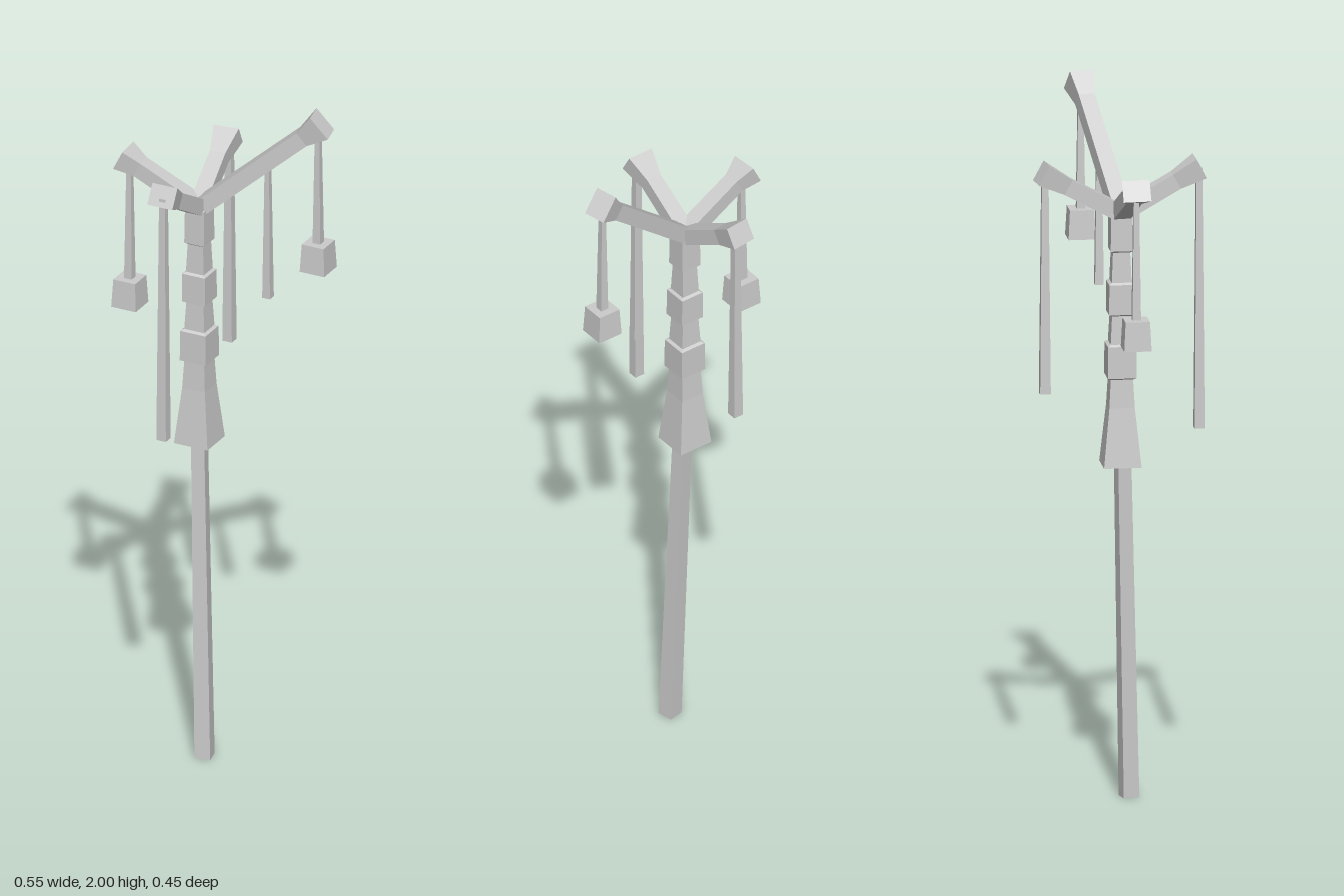
import * as THREE from 'three';

const material = new THREE.MeshStandardMaterial({ color: 0xcccccc, flatShading: true });
const UP = new THREE.Vector3(0, 1, 0);
const X = new THREE.Vector3(1, 0, 0);
const Z = new THREE.Vector3(0, 0, 1);

// Four-sided closed beam. Each ring is { c: centre, a, b: offsets along u and v };
// corners lie on the u and v axes (diamond) or between them (box). u x v points along the beam.
function beam(name, rings, u, v, box = false) {
  const signs = box ? [[1, 1], [-1, 1], [-1, -1], [1, -1]] : [[1, 0], [0, 1], [-1, 0], [0, -1]];
  const corners = rings.map(({ c, a, b }) => signs.map(([s, t]) =>
    c.clone().addScaledVector(u, s * a).addScaledVector(v, t * b)));
  const pos = [];
  const quad = (p, q, r, s) => [p, q, r, p, r, s].forEach((k) => pos.push(k.x, k.y, k.z));
  for (let i = 0; i < corners.length - 1; i++) {
    for (let j = 0; j < 4; j++) {
      const k = (j + 1) % 4;
      quad(corners[i][j], corners[i][k], corners[i + 1][k], corners[i + 1][j]);
    }
  }
  const [f, l] = [corners[0], corners[corners.length - 1]];
  quad(f[3], f[2], f[1], f[0]);
  quad(l[0], l[1], l[2], l[3]);
  const geometry = new THREE.BufferGeometry();
  geometry.setAttribute('position', new THREE.Float32BufferAttribute(pos, 3));
  geometry.computeVertexNormals();
  const mesh = new THREE.Mesh(geometry, material);
  mesh.name = name;
  return mesh;
}

// Upright diamond beam from rows of [x, y, z, radius], turned about y
function upright(name, rows, turn = 0) {
  const rings = rows.map(([x, y, z, r]) => ({ c: new THREE.Vector3(x, y, z), a: r, b: r }));
  return beam(name, rings, Z.clone().applyAxisAngle(UP, turn), X.clone().applyAxisAngle(UP, turn));
}

// Branch with a slim shaft that flares towards its tip
function arm(name, start, end, neckAt, halfWidth, halfHeight) {
  const dir = end.clone().sub(start).normalize();
  const side = dir.clone().cross(UP).normalize();
  const up = side.clone().cross(dir);
  const rings = [
    { c: start, a: 0.023, b: 0.024 },
    { c: start.clone().lerp(end, neckAt), a: 0.023, b: 0.023 },
    { c: end, a: halfHeight, b: halfWidth },
  ];
  return beam(name, rings, up, side, true);
}

export function createModel() {
  const group = new THREE.Group();
  const cx = -0.063, cz = -0.014;

  // Slightly leaning pole
  group.add(upright('pole', [[-0.061, 0, 0.027, 0.032], [-0.065, 0.97, -0.007, 0.027]], 0.2));

  // Column with flared foot and three collars: [y, radius]
  const profile = [
    [0.953, 0.074], [1.12, 0.05], [1.2, 0.044], [1.205, 0.057], [1.295, 0.056],
    [1.3, 0.044], [1.38, 0.038], [1.385, 0.051], [1.47, 0.05], [1.475, 0.039],
    [1.56, 0.034], [1.565, 0.044], [1.67, 0.042],
  ];
  group.add(upright('column', profile.map(([y, r]) => [cx, y, cz, r])));

  // Four arms spreading from the column top: name, tip, neck position, half width, half height
  const hub = new THREE.Vector3(cx, 1.668, cz);
  [
    ['longArm', [0.232, 1.969, 0.179], 0.85, 0.034, 0.039],
    ['backLeftArm', [0.077, 1.793, -0.19], 0.68, 0.037, 0.031],
    ['frontRightArm', [-0.22, 1.795, 0.142], 0.7, 0.039, 0.031],
    ['backRightArm', [-0.236, 1.783, -0.165], 0.78, 0.039, 0.031],
  ].forEach(([name, tip, neck, w, h]) =>
    group.add(arm(name, hub, new THREE.Vector3(...tip), neck, w, h)));

  // Hanging rods: x, z, top, bottom, top radius, bottom radius
  [
    ['frontRightRod', -0.217, 0.143, 1.79, 1.05, 0.013, 0.021],
    ['backLeftRod', 0.076, -0.176, 1.78, 1.165, 0.013, 0.021],
    ['longArmInnerRod', 0.1, 0.1, 1.82, 1.42, 0.01, 0.017],
    ['longArmWeightRod', 0.222, 0.175, 1.95, 1.59, 0.01, 0.017],
    ['backRightWeightRod', -0.222, -0.149, 1.77, 1.4, 0.01, 0.017],
  ].forEach(([name, x, z, top, bottom, rTop, rBottom]) =>
    group.add(upright(name, [[x, bottom, z, rBottom], [x, top, z, rTop]])));

  // Block weights at the ends of two rods
  [['longArmWeight', 0.222, 0.175, 1.522], ['backRightWeight', -0.222, -0.149, 1.33]]
    .forEach(([name, x, z, y]) =>
      group.add(upright(name, [[x, y, z, 0.054], [x, y + 0.083, z, 0.048]])));

  return group;
}
